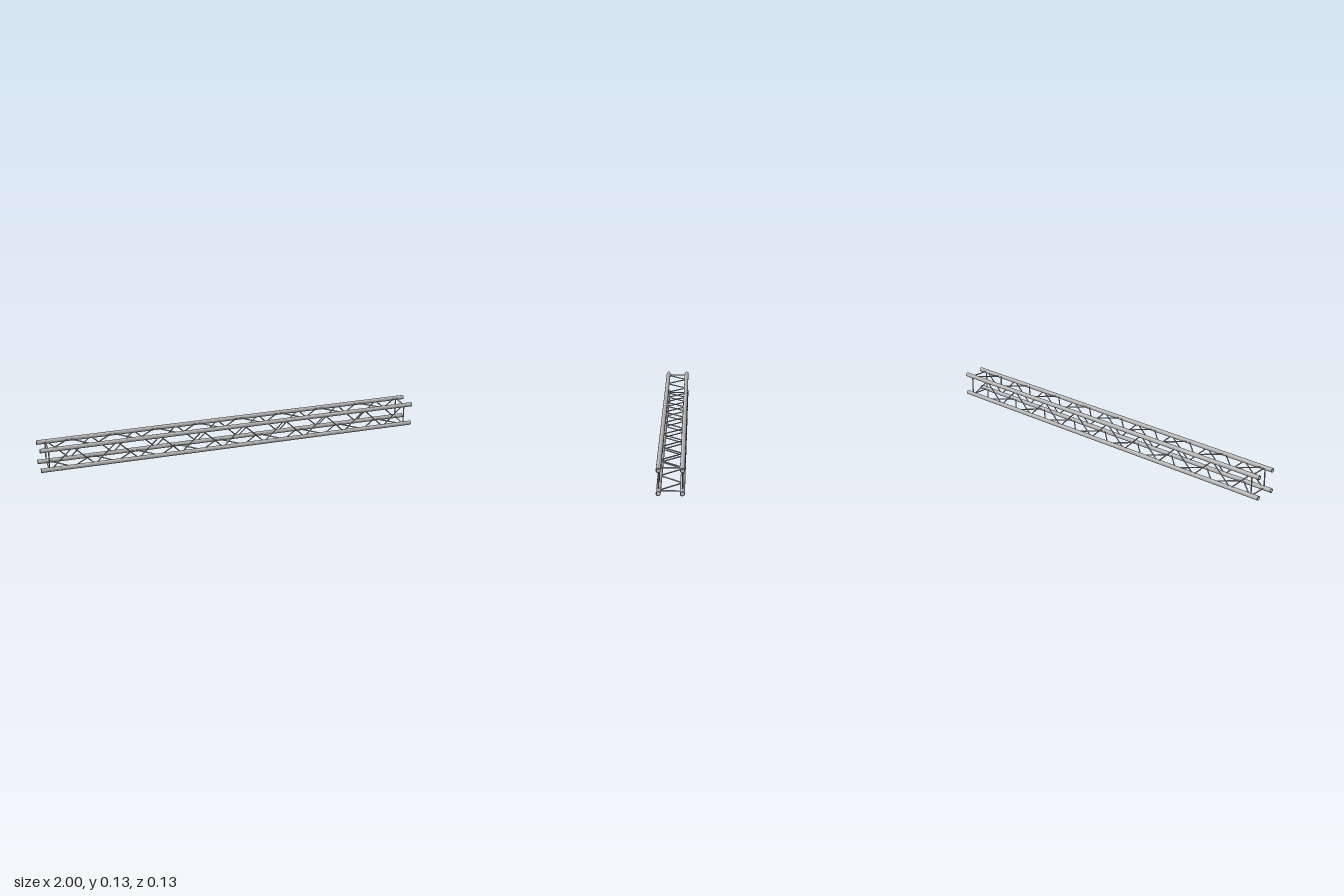
import * as THREE from 'three';

const HALF = 0.0535;      // chord centre offset from the truss axis
const R = 0.0112;         // chord outer radius
const BORE = 0.008;       // chord inner radius
const ROD = 0.0031;       // lacing rod radius
const BAYS = 17;
const PITCH = 0.1116;
const RUNG_X = 0.957;

export function createModel() {
  const aluminium = new THREE.MeshStandardMaterial({ color: 0xb2b2b2 });
  aluminium.name = 'aluminium';

  const truss = new THREE.Group();
  truss.name = 'boxTruss';

  // Hollow chord tube, open through its whole length
  const ring = new THREE.Shape().absarc(0, 0, R, 0, Math.PI * 2, false);
  ring.holes.push(new THREE.Path().absarc(0, 0, BORE, 0, Math.PI * 2, true));
  const chordGeo = new THREE.ExtrudeGeometry(ring, { depth: 2, bevelEnabled: false, curveSegments: 24 });
  chordGeo.translate(0, 0, -1).rotateY(Math.PI / 2);

  // Round rod between two points
  const rod = (name, a, b) => {
    const dir = b.clone().sub(a);
    const mesh = new THREE.Mesh(new THREE.CylinderGeometry(ROD, ROD, dir.length(), 12), aluminium);
    mesh.position.copy(a).add(b).multiplyScalar(0.5);
    mesh.quaternion.setFromUnitVectors(new THREE.Vector3(0, 1, 0), dir.normalize());
    mesh.name = name;
    return mesh;
  };

  // Four identical sides, each turned a quarter about the long axis
  ['front', 'top', 'back', 'bottom'].forEach((label, i) => {
    const side = new THREE.Group();
    side.name = label + 'Side';

    const chord = new THREE.Mesh(chordGeo, aluminium);
    chord.name = 'chord';
    chord.position.set(0, -HALF, HALF);
    side.add(chord);

    // End rungs
    for (const x of [-RUNG_X, RUNG_X]) {
      side.add(rod('endRung', new THREE.Vector3(x, -HALF, HALF), new THREE.Vector3(x, HALF, HALF)));
    }

    // Zigzag lacing
    for (let k = 0; k < BAYS; k++) {
      const x = (k - BAYS / 2) * PITCH;
      const y = k % 2 ? HALF : -HALF;
      side.add(rod('diagonal', new THREE.Vector3(x, y, HALF), new THREE.Vector3(x + PITCH, -y, HALF)));
    }

    side.rotation.x = -i * Math.PI / 2;
    truss.add(side);
  });

  truss.position.y = HALF + R;
  const model = new THREE.Group();
  model.name = 'trussModel';
  model.add(truss);
  return model;
}
